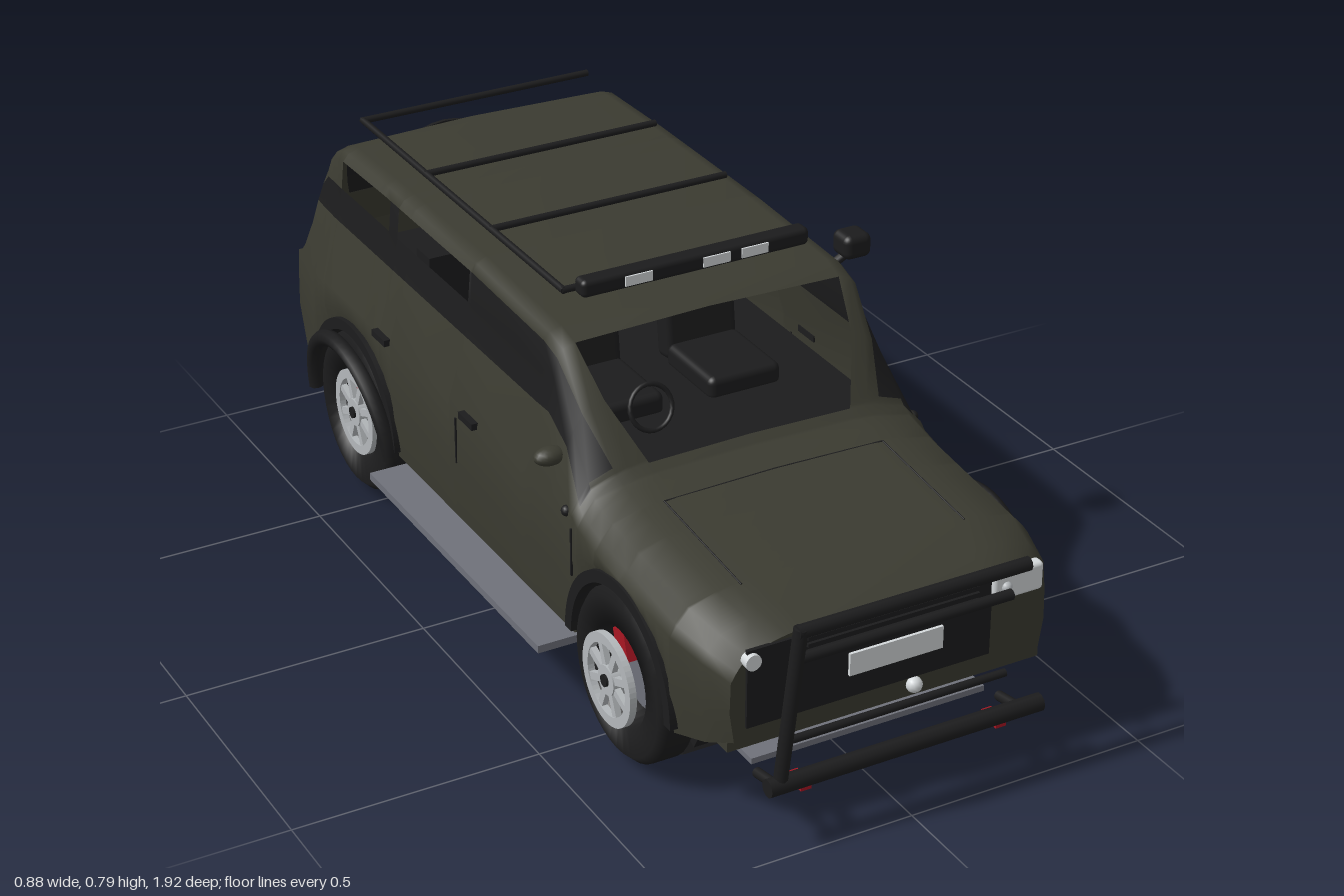
import * as THREE from 'three';
import { RoundedBoxGeometry } from 'three/addons/geometries/RoundedBoxGeometry.js';

const mat = (name, color, side = THREE.FrontSide) => {
  const m = new THREE.MeshStandardMaterial({ color, side });
  m.name = name;
  return m;
};

export function createModel() {
  const paint = mat('olive paint', 0x3b3b31, THREE.DoubleSide);
  const black = mat('black trim', 0x1c1c1d, THREE.DoubleSide);
  const steel = mat('grey steel', 0x6f717a);
  const cover = mat('spare cover grey', 0x8d9099);
  const silver = mat('silver', 0xb4b8bb);
  const white = mat('lamp white', 0xd4d8da);
  const red = mat('red', 0xa81622);
  const root = new THREE.Group();

  const add = (name, geo, material, x = 0, y = 0, z = 0, parent = root) => {
    const m = new THREE.Mesh(geo, material);
    m.name = name;
    m.position.set(x, y, z);
    parent.add(m);
    return m;
  };
  const box = (name, material, w, h, d, x, y, z, parent) =>
    add(name, new THREE.BoxGeometry(w, h, d), material, x, y, z, parent);
  const softBox = (name, material, w, h, d, x, y, z) =>
    add(name, new RoundedBoxGeometry(w, h, d, 3, Math.min(w, h, d) * 0.3), material, x, y, z);
  // chain of straight tubes through the points
  const bar = (name, material, r, pts) => {
    const v = pts.map(p => new THREE.Vector3(...p));
    for (let i = 1; i < v.length; i++) {
      const dir = v[i].clone().sub(v[i - 1]);
      const m = add(name, new THREE.CylinderGeometry(r, r, dir.length() + r, 10), material);
      m.position.copy(v[i]).add(v[i - 1]).multiplyScalar(0.5);
      m.quaternion.setFromUnitVectors(new THREE.Vector3(0, 1, 0), dir.normalize());
    }
  };
  // ring or half ring around the x axis, growing towards +x
  const ring = (r0, r1, depth, arc) => {
    const s = new THREE.Shape();
    s.absarc(0, 0, r1, 0, arc, false);
    if (arc < 6) s.absarc(0, 0, r0, arc, 0, true);
    else s.holes.push(new THREE.Path().absarc(0, 0, r0, 0, arc, true));
    return new THREE.ExtrudeGeometry(s, { depth, bevelEnabled: false, curveSegments: 28 }).rotateY(Math.PI / 2);
  };
  const disc = (r, d) => new THREE.CylinderGeometry(r, r, d, 28).rotateZ(Math.PI / 2);

  // body stations: z, top height, width scale, cabin share
  const axles = [0.59, -0.565], archR = 0.19, axleY = 0.185;
  const keys = [
    [0.91, 0.405, 0.87, 0], [0.86, 0.428, 0.95, 0], [0.78, 0.443, 1, 0], [0.6, 0.46, 1, 0],
    [0.5, 0.47, 1, 0], [0.43, 0.484, 1, 0], [0.41, 0.5, 1, 0.1], [0.33, 0.61, 1, 0.75],
    [0.25, 0.697, 1, 0.97], [0.2, 0.712, 1, 1], [-0.1, 0.722, 1, 1], [-0.5, 0.722, 1, 1],
    [-0.72, 0.716, 1, 1], [-0.765, 0.695, 1, 0.95], [-0.8, 0.655, 0.99, 0.85],
    [-0.835, 0.58, 0.98, 0.7], [-0.865, 0.5, 0.96, 0.5], [-0.89, 0.45, 0.94, 0.4]];
  const at = (z, c) => {
    let i = 1;
    while (i < keys.length - 1 && z < keys[i][0]) i++;
    const a = keys[i - 1], b = keys[i];
    return THREE.MathUtils.lerp(a[c], b[c], (a[0] - z) / (a[0] - b[0]));
  };
  const sill = z => {
    for (const c of axles) if (Math.abs(z - c) < archR) return axleY + Math.sqrt(archR ** 2 - (z - c) ** 2);
    return 0.17 + Math.max(0, Math.abs(z) - 0.8) * 0.35;
  };
  const section = z => {
    const top = at(z, 1), w = at(z, 2), t = at(z, 3), s = sill(z);
    const hood = [[0.365, top - 0.05], [0.34, top - 0.022], [0.28, top - 0.008], [0.25, top - 0.003], [0.21, top], [0, top + 0.004]];
    const cabin = [[0.341, Math.min(0.56, top - 0.09)], [0.33, Math.min(0.63, top - 0.06)],
      [0.324, top - 0.027], [0.312, top - 0.012], [0.287, top - 0.004], [0, top + 0.003]];
    const y2 = Math.max(s + 0.008, Math.min(0.43, top - 0.07));
    const half = [[0.37, s], [0.381, (s + y2) / 2], [0.379, y2],
      ...hood.map((h, i) => [h[0] + (cabin[i][0] - h[0]) * t, h[1] + (cabin[i][1] - h[1]) * t])].map(p => [p[0] * w, p[1]]);
    return [...half, ...half.slice(0, 8).reverse().map(p => [-p[0], p[1]])];
  };
  const zs = [...keys.map(k => k[0]), -0.11, -0.43, -0.47, -0.7, -0.848];
  for (const c of axles) for (let a = 0; a <= 12; a++) zs.push(c + archR * Math.cos(a * Math.PI / 12));
  zs.sort((a, b) => b - a);
  const stations = zs.filter((z, i) => i === 0 || zs[i - 1] - z > 0.0005);
  const pos = [], idx = [[], []];
  stations.forEach((z, s) => {
    section(z).forEach(p => pos.push(p[0], p[1], z));
    if (s === 0) return;
    const mid = (z + stations[s - 1]) / 2;
    for (let i = 0; i < 16; i++) {
      const b = i < 8 ? i : 15 - i;
      const windscreen = b === 7 && mid < 0.41 && mid > 0.25;
      const sideOpening = b === 4 && ((mid < -0.11 && mid > -0.43) || (mid < -0.47 && mid > -0.7));
      if (windscreen || sideOpening) continue;
      const dark = (b === 3 && mid < 0.41 && mid > -0.82) || (b === 4 && mid < 0.37 && mid > -0.7)
        || (b === 7 && mid < -0.765 && mid > -0.848);
      const p = (s - 1) * 17 + i, q = s * 17 + i;
      idx[dark ? 1 : 0].push(p, q, p + 1, p + 1, q, q + 1);
    }
  });
  const shell = new THREE.BufferGeometry();
  shell.setAttribute('position', new THREE.Float32BufferAttribute(pos, 3));
  shell.setIndex([...idx[0], ...idx[1]]);
  shell.addGroup(0, idx[0].length, 0);
  shell.addGroup(idx[0].length, idx[1].length, 1);
  shell.computeVertexNormals();
  add('bodyShell', shell, [paint, black]);
  for (const [name, z] of [['noseFace', 0.91], ['tailFace', -0.89]]) {
    const face = new THREE.ShapeGeometry(new THREE.Shape(section(z).map(p => new THREE.Vector2(p[0], p[1]))));
    if (z < 0) face.rotateY(Math.PI);
    add(name, face, paint, 0, 0, z);
  }

  // floor, between and beside the wheel wells
  box('floorSpine', paint, 0.38, 0.02, 1.72, 0, 0.185, 0);
  for (const [z0, z1, w, y] of [[0.9, 0.78, 0.66, 0.195], [0.4, -0.375, 0.74, 0.182], [-0.755, -0.885, 0.69, 0.195]])
    box('floorPanel', paint, w, 0.02, z0 - z1, 0, y, (z0 + z1) / 2);

  // wheels, wells and flares
  const tireProfile = [[0.1, -0.035], [0.155, -0.042], [0.17, -0.026], [0.17, 0.026], [0.155, 0.042], [0.1, 0.035], [0.1, -0.035]];
  const tire = new THREE.LatheGeometry(tireProfile.map(p => new THREE.Vector2(...p)), 36).rotateZ(-Math.PI / 2);
  for (const side of [1, -1]) axles.forEach((z, k) => {
    const wheel = new THREE.Group();
    wheel.name = (k ? 'rear' : 'front') + (side > 0 ? 'Left' : 'Right') + 'Wheel';
    wheel.position.set(0, axleY, z);
    if (side < 0) wheel.rotation.y = Math.PI;
    root.add(wheel);
    add('tire', tire, black, 0.343, 0, 0, wheel);
    for (let i = 0; i < 12; i++) {
      const a = i * Math.PI / 6, r = i === 6 ? 0.175 : 0.16;
      box('treadLug', black, 0.1, 0.02, 0.035, 0.25, r * Math.cos(a), r * Math.sin(a), wheel).rotation.x = a;
    }
    const tilted = (side > 0) === (k === 0);
    const out = tilted ? 0.37 : 0.392;
    add('rimRing', ring(0.072, 0.092, 0.014, Math.PI * 2), silver, out, 0, 0, wheel);
    add('brakeDisc', disc(0.08, 0.012), steel, 0.325, 0, 0, wheel);
    add('hub', disc(0.03, 0.03), silver, out, 0, 0, wheel);
    add('hubCap', disc(0.012, 0.02), black, out + 0.01, 0, 0, wheel);
    for (let i = 0; i < 8; i++) {
      const a = (i + 0.5) * Math.PI / 4;
      box('spoke', silver, 0.012, 0.058, 0.015, out + 0.006, 0.05 * Math.cos(a), 0.05 * Math.sin(a), wheel).rotation.x = a;
    }
    box('brakeCaliper', red, 0.035, 0.06, 0.042, 0.35, 0.055, -0.016 * side, wheel).rotation.x = -0.3 * side;
    add('wheelWell', ring(0.186, 0.191, 0.18, Math.PI), black, 0.19, 0, 0, wheel);
    add('wellWall', ring(0.002, 0.19, 0.004, Math.PI), black, 0.188, 0, 0, wheel);
    add('archTrim', ring(0.178, 0.202, 0.02, Math.PI), black, 0.365, 0, 0, wheel);
    if (tilted) {
      const flare = add('tiltedFlare', new THREE.TorusGeometry(0.185, 0.017, 8, 28, Math.PI).rotateY(Math.PI / 2), black, 0.387, -0.02, 0, wheel);
      flare.rotation.z = -0.12;
    }
  });

  // sides: steps, handles, seams
  for (const s of [1, -1]) {
    box('sideStep', steel, 0.14, 0.016, 0.75, s * 0.37, 0.145, 0.008);
    for (const z of [-0.012, -0.41]) box('doorHandle', black, 0.016, 0.014, 0.06, s * 0.383, 0.43, z);
    for (const z of [0.41, -0.075]) box('doorSeam', black, 0.004, 0.1, 0.004, s * 0.381, 0.355, z);
    add('sideKnob', new THREE.SphereGeometry(0.011, 10, 8), black, s * 0.377, 0.43, 0.385);
    bar('hoodSeam', black, 0.002, [0.5, 0.6, 0.7, 0.78].map(z => [s * 0.235, at(z, 1) - 0.002, z]));
  }
  bar('hoodSeam', black, 0.002, [[-0.235, 0.468, 0.5], [0, 0.473, 0.5], [0.235, 0.468, 0.5]]);
  add('sideMirror', new THREE.SphereGeometry(1, 16, 10), paint, -0.372, 0.507, 0.31).scale.set(0.033, 0.018, 0.022);
  bar('mirrorArm', paint, 0.006, [[-0.37, 0.5, 0.31], [-0.335, 0.485, 0.31]]);
  softBox('roofSpotlight', black, 0.06, 0.05, 0.06, 0.347, 0.728, 0.195);
  bar('spotlightArm', black, 0.009, [[0.34, 0.71, 0.195], [0.31, 0.69, 0.19]]);

  // cabin interior
  box('cabinFloor', black, 0.66, 0.02, 1.2, 0, 0.44, -0.2);
  box('dashboard', black, 0.5, 0.05, 0.08, 0, 0.455, 0.35);
  for (const x of [-0.13, 0.13]) {
    softBox('seatCushion', black, 0.16, 0.05, 0.18, x, 0.465, 0.08);
    softBox('seatBack', black, 0.16, 0.13, 0.05, x, 0.515, -0.03).rotation.x = -0.12;
  }
  box('rearBench', black, 0.56, 0.14, 0.06, 0, 0.52, -0.42);
  add('steeringWheel', new THREE.TorusGeometry(0.045, 0.005, 8, 24), black, -0.12, 0.51, 0.24).rotation.x = -0.35;

  // nose: grille, lamps, plate
  box('grillePanel', black, 0.51, 0.16, 0.008, -0.045, 0.315, 0.912);
  for (let i = 0; i < 4; i++) box('grilleSlat', black, 0.36, 0.008, 0.012, 0, 0.345 + i * 0.014, 0.916);
  softBox('headlight', white, 0.108, 0.058, 0.026, 0.262, 0.375, 0.912);
  add('headlightBulb', new THREE.SphereGeometry(0.011, 12, 8), silver, 0.235, 0.374, 0.924);
  add('roundHeadlight', new THREE.CylinderGeometry(0.016, 0.016, 0.02, 16).rotateX(Math.PI / 2), white, -0.292, 0.374, 0.915);
  box('frontPlate', white, 0.196, 0.046, 0.006, 0, 0.313, 0.928);
  add('frontTowHook', new THREE.SphereGeometry(0.016, 12, 8), white, 0.05, 0.218, 0.915);
  box('skidPlate', steel, 0.5, 0.012, 0.13, 0, 0.11, 0.785);

  // bull bar
  bar('bullBarFrame', black, 0.014, [[-0.262, 0.15, 0.972], [-0.236, 0.455, 0.985], [0.23, 0.455, 0.985]]);
  bar('bullBarMiddle', black, 0.011, [[-0.24, 0.393, 0.975], [0.205, 0.393, 0.975]]);
  bar('bullBarLower', black, 0.008, [[-0.25, 0.225, 0.97], [0.205, 0.225, 0.97]]);
  bar('bumperTube', black, 0.018, [[-0.28, 0.138, 0.972], [0.28, 0.138, 0.972]]);
  for (const x of [-0.207, 0.207]) {
    box('towShackle', red, 0.022, 0.014, 0.05, x, 0.114, 0.945);
    bar('bumperBracket', black, 0.01, [[x * 1.25, 0.125, 0.96], [x * 1.25, 0.112, 0.89]]);
  }

  // roof rack and light bar
  bar('rackRail', black, 0.007, [[-0.262, 0.757, 0.16], [-0.262, 0.757, -0.73]]);
  for (const z of [0.16, -0.14, -0.43, -0.73]) bar('rackCrossbar', black, 0.007, [[-0.262, 0.757, z], [0.255, 0.757, z]]);
  softBox('lightBar', black, 0.49, 0.036, 0.038, 0, 0.769, 0.187);
  for (const x of [-0.127, 0.04, 0.123]) box('roofLamp', white, 0.058, 0.02, 0.006, x, 0.769, 0.206);

  // tail: spare wheel, plate, lamp, tow ball
  const flat = (r, d) => new THREE.CylinderGeometry(r, r, d, 32).rotateX(Math.PI / 2);
  add('spareTire', flat(0.152, 0.008), black, 0, 0.487, -0.896);
  add('spareCover', flat(0.104, 0.006), cover, 0, 0.472, -0.904);
  box('rearPlate', white, 0.17, 0.045, 0.008, 0, 0.368, -0.908);
  box('tailLamp', red, 0.05, 0.125, 0.026, 0.3, 0.42, -0.886);
  bar('towBarArm', black, 0.01, [[0.04, 0.2, -0.84], [0.04, 0.213, -0.895]]);
  add('towBall', new THREE.SphereGeometry(0.02, 14, 10), silver, 0.04, 0.217, -0.9);

  return root;
}
